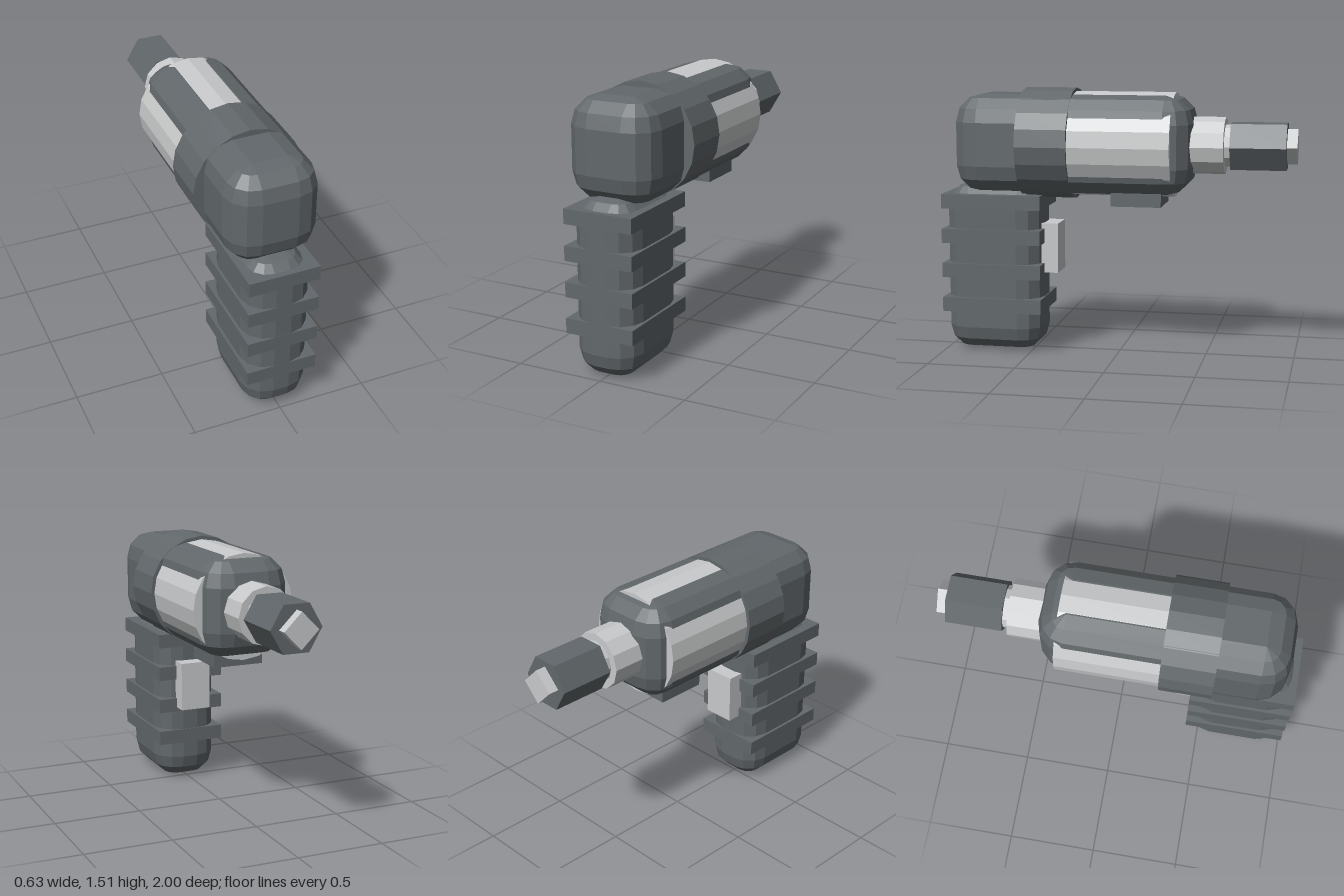
import * as THREE from 'three';
import { ConvexGeometry } from 'three/addons/geometries/ConvexGeometry.js';

const AXIS_Y = 1.2; // height of the barrel axis

// Box with three-step rounded edges, as the hull of eight sphere octants
function bevelledBox(w, h, d, r) {
  const points = [];
  for (const sx of [-1, 1]) for (const sy of [-1, 1]) for (const sz of [-1, 1]) {
    for (let i = 0; i <= 3; i++) for (let j = 0; j <= (i === 3 ? 0 : 3); j++) {
      const lat = i * Math.PI / 6, lon = j * Math.PI / 6;
      points.push(new THREE.Vector3(
        sx * (w / 2 - r + r * Math.cos(lat) * Math.cos(lon)),
        sy * (h / 2 - r + r * Math.sin(lat)),
        sz * (d / 2 - r + r * Math.cos(lat) * Math.sin(lon))));
    }
  }
  return new ConvexGeometry(points);
}

export function createModel() {
  const model = new THREE.Group();
  model.name = 'cordlessTool';

  const dark = new THREE.MeshStandardMaterial({ color: 0x62686b, flatShading: true });
  dark.name = 'darkGrey';
  const light = new THREE.MeshStandardMaterial({ color: 0xc8cacb, flatShading: true });
  light.name = 'lightGrey';

  const add = (name, geometry, material, x, y, z) => {
    const mesh = new THREE.Mesh(geometry, material);
    mesh.name = name;
    mesh.position.set(x, y, z);
    model.add(mesh);
    return mesh;
  };
  // Cylinder along z between two depths; a corner points to each side
  const barrel = (name, radius, z0, z1, sides, material, turn = 0) => {
    const geometry = new THREE.CylinderGeometry(radius, radius, z1 - z0, sides);
    geometry.rotateY(turn).rotateX(Math.PI / 2);
    return add(name, geometry, material, 0, AXIS_Y, (z0 + z1) / 2);
  };

  // Main housing and handle
  add('housing', bevelledBox(0.51, 0.555, 1.36, 0.155), dark, 0, 1.2025, 0.25);
  add('handle', bevelledBox(0.37, 0.97, 0.57, 0.14), dark, 0, 0.485, 0.715);

  // Grip ribs around the handle
  for (let i = 0; i < 4; i++) {
    add('gripRib' + (i + 1), new THREE.BoxGeometry(0.4, 0.082, 0.576), dark, 0, 0.275 + i * 0.199, 0.713);
  }

  // Sleeve and collar around the housing
  barrel('sleeve', 0.295, -0.32, 0.26, 20, light);
  barrel('collar', 0.315, 0.25, 0.54, 20, dark);

  // Chuck, spindle and tip
  barrel('chuckBase', 0.16, -0.6, -0.35, 12, light);
  barrel('spindle', 0.118, -0.66, -0.58, 12, light);
  barrel('hexChuck', 0.147, -0.942, -0.632, 6, dark, Math.PI / 2);
  barrel('tip', 0.098, -1, -0.9, 4, light);

  // Trigger and the block under the housing
  add('trigger', new THREE.BoxGeometry(0.18, 0.285, 0.15), light, 0, 0.602, 0.42);
  add('underBlock', new THREE.BoxGeometry(0.29, 0.14, 0.285), dark, 0, 0.93, -0.113);

  return model;
}
